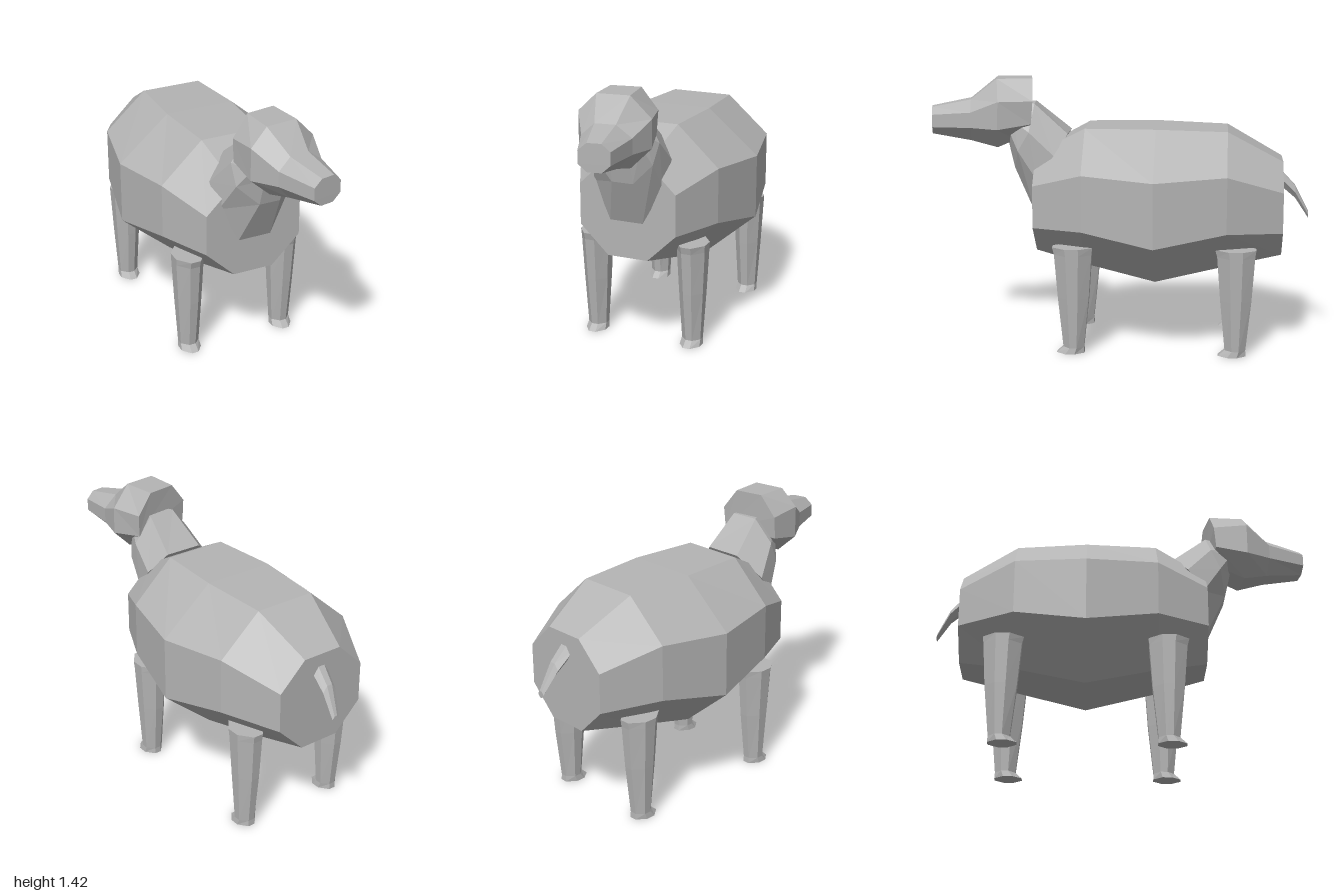
import * as THREE from 'three';

// Skin a list of rings (each a list of [x, y, z]) with closed ends
function loft(name, rings, material) {
  const n = rings[0].length, pos = [];
  const tri = (a, b, c) => pos.push(...a, ...b, ...c);
  for (let r = 0; r < rings.length - 1; r++) {
    const a = rings[r], b = rings[r + 1];
    for (let i = 0; i < n; i++) {
      const j = (i + 1) % n;
      tri(a[i], a[j], b[j]);
      tri(a[i], b[j], b[i]);
    }
  }
  const first = rings[0], last = rings[rings.length - 1];
  for (let i = 1; i < n - 1; i++) {
    tri(first[0], first[i + 1], first[i]);
    tri(last[0], last[i], last[i + 1]);
  }
  const geo = new THREE.BufferGeometry();
  geo.setAttribute('position', new THREE.Float32BufferAttribute(pos, 3));
  geo.computeVertexNormals();
  const mesh = new THREE.Mesh(geo, material);
  mesh.name = name;
  return mesh;
}

export function createModel() {
  const model = new THREE.Group();
  model.name = 'sheep';
  const grey = new THREE.MeshStandardMaterial({ color: 0xb4b4b4, flatShading: true });
  grey.name = 'grey';

  // Body: octagons from rump to chest: z, half width, flat half width, four heights
  const body = [
    [-0.86, 0.255, 0.11, 0.505, 0.65, 0.86, 1.0],
    [-0.57, 0.39, 0.165, 0.45, 0.668, 0.96, 1.16],
    [-0.2, 0.465, 0.19, 0.365, 0.6, 0.938, 1.172],
    [0.17, 0.39, 0.165, 0.45, 0.668, 0.96, 1.17],
    [0.435, 0.265, 0.11, 0.51, 0.66, 0.88, 1.03],
  ].map(([z, a, b, y0, y1, y2, y3]) => [
    [a, y1, z], [a, y2, z], [b, y3, z], [-b, y3, z],
    [-a, y2, z], [-a, y1, z], [-b, y0, z], [b, y0, z],
  ]);
  model.add(loft('body', body, grey));

  // Neck: tilted rings from chest up into the head
  model.add(loft('neck', [
    [[0.19, 0.9, 0.42], [0.2, 1.03, 0.33], [0.115, 1.135, 0.265], [-0.09, 1.135, 0.265],
      [-0.205, 1.02, 0.34], [-0.19, 0.9, 0.42], [-0.09, 0.71, 0.445], [0.09, 0.71, 0.445]],
    [[0.18, 1.05, 0.52], [0.19, 1.15, 0.46], [0.1, 1.29, 0.44], [-0.05, 1.29, 0.45],
      [-0.15, 1.17, 0.47], [-0.145, 1.06, 0.52], [-0.03, 0.95, 0.55], [0.085, 0.95, 0.55]],
    [[0.14, 1.15, 0.57], [0.15, 1.2, 0.54], [0.09, 1.29, 0.5], [-0.02, 1.29, 0.51],
      [-0.09, 1.2, 0.54], [-0.09, 1.15, 0.57], [-0.02, 1.1, 0.585], [0.08, 1.1, 0.585]],
  ], grey));

  // Head: turned slightly to its left, tapering to a blunt muzzle
  model.add(loft('head', [
    [[0.17, 1.19, 0.45], [0.175, 1.31, 0.44], [0.09, 1.42, 0.45], [-0.065, 1.42, 0.475],
      [-0.15, 1.31, 0.49], [-0.15, 1.19, 0.5], [-0.05, 1.1, 0.56], [0.1, 1.1, 0.54]],
    [[0.22, 1.165, 0.62], [0.22, 1.31, 0.615], [0.115, 1.42, 0.635], [-0.055, 1.42, 0.655],
      [-0.145, 1.33, 0.67], [-0.145, 1.16, 0.67], [-0.035, 1.06, 0.66], [0.115, 1.06, 0.635]],
    [[0.185, 1.17, 0.765], [0.185, 1.25, 0.765], [0.105, 1.31, 0.775], [0, 1.31, 0.79],
      [-0.065, 1.25, 0.8], [-0.065, 1.17, 0.8], [0, 1.095, 0.79], [0.11, 1.095, 0.775]],
    [[0.17, 1.17, 0.97], [0.17, 1.235, 0.97], [0.128, 1.272, 0.977], [0.058, 1.272, 0.989],
      [0.015, 1.235, 0.997], [0.015, 1.17, 0.997], [0.058, 1.132, 0.989], [0.128, 1.132, 0.977]],
  ], grey));

  // Legs: tapered octagons from hoof to top: y, half width, back and front offsets
  const legProfile = [
    [0, 0.056, -0.06, 0.085],
    [0.032, 0.052, -0.058, 0.05],
    [0.3, 0.067, -0.085, 0.077],
    [0.53, 0.078, -0.1, 0.095],
    [0.568, 0.08, -0.105, 0.105],
  ];
  for (const [end, zc] of [['front', 0.225], ['back', -0.62]]) {
    for (const [side, xc] of [['Left', 0.275], ['Right', -0.275]]) {
      const rings = legProfile.map(([y, w, back, front]) => {
        const c = zc + (back + front) / 2, h = (front - back) / 2;
        const p = 0.34;
        return [[1, p], [1, -p], [p, -1], [-p, -1], [-1, -p], [-1, p], [-p, 1], [p, 1]]
          .map(([u, v]) => [xc + u * w, y, c + v * h]);
      });
      model.add(loft(end + side + 'Leg', rings, grey));
    }
  }

  // Tail: small drooping taper: z, right x, left x, top, bottom
  const tail = [
    [-0.84, -0.045, 0.05, 0.955, 0.87],
    [-0.93, -0.03, 0.048, 0.86, 0.795],
    [-1.0, 0.003, 0.043, 0.725, 0.69],
  ].map(([z, x0, x1, top, low]) => {
    const m = (x0 + x1) / 2, q = (x1 - x0) / 5, y = (top + low) / 2;
    return [[x0, y, z], [m - q, top, z], [m + q, top, z], [x1, y, z], [m + q, low, z], [m - q, low, z]];
  });
  model.add(loft('tail', tail, grey));

  return model;
}
